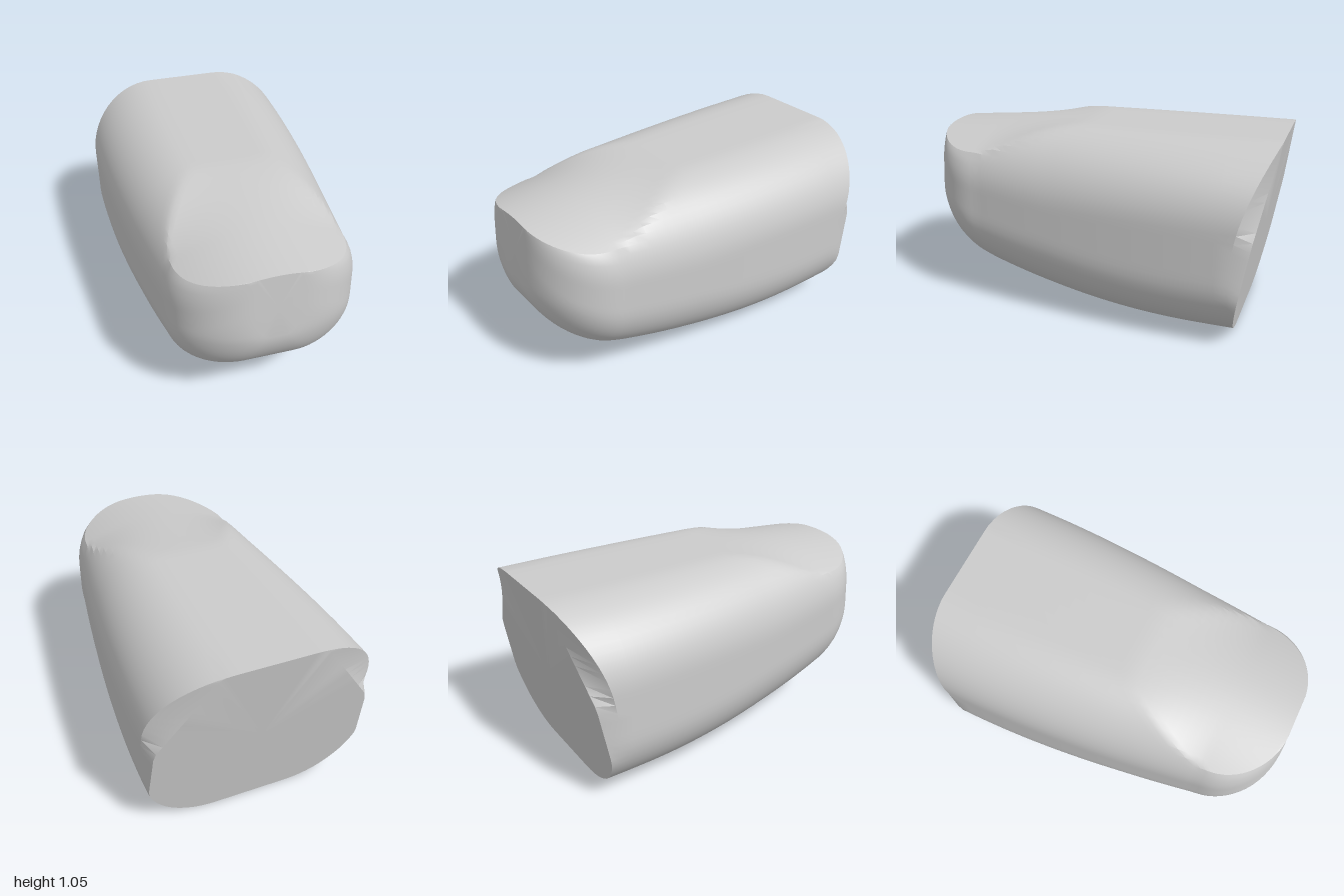
import * as THREE from 'three';
import { toCreasedNormals } from 'three/addons/utils/BufferGeometryUtils.js';

const ARC = 14, SPAN = 6;

// half width and underside height along the length
function halfWidth(z) {
  if (z > 0.65) return 0.12 + 0.38 * Math.sqrt(Math.max(0, 1 - ((z - 0.65) / 0.35) ** 2));
  const t = Math.min(1, (0.65 - z) / 1.4);
  return 0.5 + 0.125 * (1 - (1 - t) ** 1.7);
}
function underside(z) {
  const base = 0.2 * (Math.max(0, z + 0.6) / 1.3) ** 2;
  const u = Math.max(0, (z - 0.6) / 0.4);
  return base + 0.3 * (1 - Math.sqrt(Math.max(0, 1 - u * u)));
}

// rounded cross-section, counter-clockwise from the lower +x corner
function outline(z) {
  const w = halfWidth(z), b = underside(z), t = 1.05;
  const rx = w * 0.66, ry = Math.min(0.39, (t - b) * 0.4);
  const corners = [[1, b + ry, -90], [1, t - ry, 0], [-1, t - ry, 90], [-1, b + ry, 180]];
  const pts = [];
  corners.forEach(([s, cy, start], k) => {
    for (let i = 0; i <= ARC; i++) {
      const a = THREE.MathUtils.degToRad(start + 90 * i / ARC);
      pts.push([s * (w - rx) + rx * Math.cos(a), cy + ry * Math.sin(a)]);
    }
    // straight run to the next corner
    const [s2, cy2, start2] = corners[(k + 1) % 4];
    const a2 = THREE.MathUtils.degToRad(start2);
    const end = [s2 * (w - rx) + rx * Math.cos(a2), cy2 + ry * Math.sin(a2)];
    const from = pts[pts.length - 1];
    for (let i = 1; i < SPAN; i++) {
      pts.push([0, 1].map((c) => from[c] + (end[c] - from[c]) * i / SPAN));
    }
  });
  return pts;
}

// sloped, slightly crowned cut over the nose, and a leaning front face
function bodyRing(z) {
  const crown = 0.55 * THREE.MathUtils.smoothstep(z, 0.1, 0.65);
  const lean = 0.067 * THREE.MathUtils.smoothstep(z, 0.5, 1);
  return outline(z).map(([x, y]) => {
    const cut = 1.05 - 0.086 * Math.max(0, z - 0.1) - crown * x * x;
    const h = Math.min(y, cut);
    return [x, h, z - lean * Math.max(0, h - 0.6)];
  });
}

export function createModel() {
  const rings = [];
  // rounded nose, spaced closer towards the tip
  for (let i = 0; i <= 18; i++) rings.push(bodyRing(0.6 + 0.4 * Math.cos(i / 18 * Math.PI / 2)));
  // long tapering body
  for (let i = 1; i <= 24; i++) rings.push(bodyRing(0.6 - 1.35 * i / 24));
  // rear edge, sweeping back towards the top
  const rear = outline(-0.82);
  rings.push(rear.map(([x, y]) => [x, y, -0.82 - 0.18 * (Math.max(0, y - 0.4) / 0.65) ** 2]));
  // rim of the slanted back face with chamfered upper corners
  rings.push(rear.map(([x, y]) => {
    const limit = Math.min(0.27 + (1.05 - y) * 0.71, 0.625 - 0.06 * y);
    return [THREE.MathUtils.clamp(x, -limit, limit), y, -0.82 - 0.1714 * y];
  }));

  const pos = [];
  const tri = (...p) => p.forEach((v) => pos.push(...v));
  const n = rings[0].length, last = rings[rings.length - 1];
  const tip = [0, 0.78, 0.988], back = [0, 0.52, -0.82 - 0.1714 * 0.52];
  for (let j = 0; j < n; j++) {
    const k = (j + 1) % n;
    tri(tip, rings[0][j], rings[0][k]);
    for (let i = 0; i < rings.length - 1; i++) {
      const p = rings[i], q = rings[i + 1];
      tri(p[j], q[j], p[k]);
      tri(p[k], q[j], q[k]);
    }
    tri(back, last[k], last[j]);
  }
  const geometry = new THREE.BufferGeometry();
  geometry.setAttribute('position', new THREE.Float32BufferAttribute(pos, 3));

  const shell = new THREE.Mesh(
    toCreasedNormals(geometry, 0.45),
    new THREE.MeshStandardMaterial({ color: 0xcccccc })
  );
  shell.name = 'taperedShell';
  const group = new THREE.Group();
  group.name = 'roundedNoseBlock';
  group.add(shell);
  return group;
}
